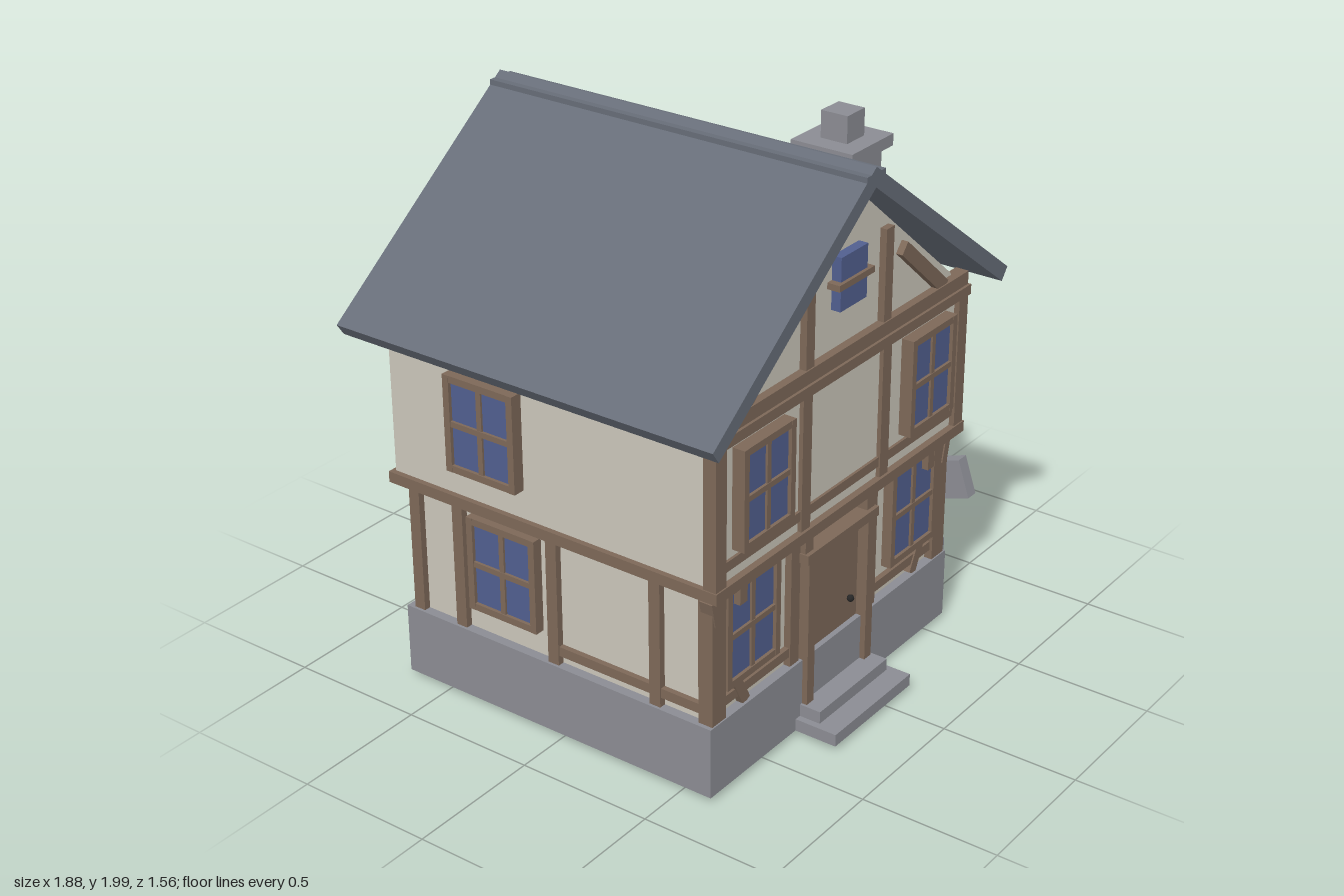
import * as THREE from 'three';

const mat = (name, color) => Object.assign(new THREE.MeshStandardMaterial({ color }), { name });

export function createModel() {
  const plaster = mat('plaster', 0xcac6ba), wood = mat('wood', 0x7d6858), stone = mat('stone', 0x8b8c93);
  const slate = mat('slate', 0x676d78), glass = mat('glass', 0x515f8f), iron = mat('iron', 0x262626);
  const house = new THREE.Group();
  house.name = 'house';
  const CX = -0.1; // the house is symmetric about this x

  const add = (name, geo, material, parent = house) => {
    const m = new THREE.Mesh(geo, material);
    m.name = name;
    parent.add(m);
    return m;
  };
  // box from its bounds
  const box = (name, material, x0, x1, y0, y1, z0, z1, parent) => {
    const m = add(name, new THREE.BoxGeometry(x1 - x0, y1 - y0, z1 - z0), material, parent);
    m.position.set((x0 + x1) / 2, (y0 + y1) / 2, (z0 + z1) / 2);
    return m;
  };
  // the same box on both sides of the house axis
  const pair = (name, material, x0, x1, ...rest) => {
    box(name, material, x0, x1, ...rest);
    box(name, material, 2 * CX - x1, 2 * CX - x0, ...rest);
  };
  // slanted beam between two points of a facade, mirrored
  const braces = (name, xa, ya, xb, yb, width, z0, z1) => {
    for (const s of [1, -1]) {
      const m = add(name, new THREE.BoxGeometry(Math.hypot(xb - xa, yb - ya), width, z1 - z0), wood);
      const mid = (xa + xb) / 2;
      m.position.set(s > 0 ? mid : 2 * CX - mid, (ya + yb) / 2, (z0 + z1) / 2);
      m.rotation.z = s * Math.atan2(yb - ya, xb - xa);
    }
  };
  // prism along z from an outline in x and y
  const prism = (name, material, pts, z0, z1) => {
    const shape = new THREE.Shape(pts.map(p => new THREE.Vector2(...p)));
    const geo = new THREE.ExtrudeGeometry(shape, { depth: z1 - z0, bevelEnabled: false });
    return add(name, geo.translate(0, 0, z0), material);
  };
  // framed window with a cross, facing +z about its own centre
  const framedWindow = (name, w, h) => {
    const g = new THREE.Group(), t = 0.025, a = w / 2, b = h / 2;
    g.name = name;
    box('pane', glass, -a + t, a - t, -b + t, b - t, -0.02, 0.022, g);
    for (const s of [-1, 1]) {
      box('frameSide', wood, s * (a - t / 2) - t / 2, s * (a - t / 2) + t / 2, -b, b, -0.02, 0.035, g);
      box('frameRail', wood, -a, a, s * (b - t / 2) - t / 2, s * (b - t / 2) + t / 2, -0.02, 0.034, g);
    }
    box('mullion', wood, -0.01, 0.01, -b, b, -0.01, 0.03, g);
    box('crossBar', wood, -a, a, -0.01, 0.01, -0.01, 0.032, g);
    house.add(g);
    return g;
  };

  // masonry base and walls
  box('foundation', stone, -0.81, 0.605, 0.03, 0.29, -0.67, 0.62);
  box('lowerWalls', plaster, -0.775, 0.575, 0.29, 0.78, -0.64, 0.585);
  box('upperWalls', plaster, -0.81, 0.61, 0.79, 1.33, -0.685, 0.63);
  prism('gableWalls', plaster, [[-0.79, 1.33], [0.59, 1.33], [0.55, 1.39], [CX, 1.93], [-0.75, 1.39]], -0.675, 0.62);

  // horizontal bands around the house
  box('floorBand', wood, -0.83, 0.63, 0.77, 0.81, -0.70, 0.655);
  box('eaveBand', wood, -0.835, 0.625, 1.295, 1.332, -0.695, 0.66);
  box('gableBeamFront', wood, -0.82, 0.62, 1.33, 1.38, 0.60, 0.65);
  box('gableBeamBack', wood, -0.82, 0.62, 1.33, 1.38, -0.70, -0.65);

  // upper front framing
  pair('upperCornerPost', wood, -0.825, -0.77, 0.81, 1.295, 0.60, 0.65);
  pair('upperPost', wood, -0.355, -0.305, 0.81, 1.295, 0.60, 0.645);
  box('upperRail', wood, -0.77, 0.57, 0.85, 0.885, 0.60, 0.64);

  // lower front framing
  pair('lowerCornerPost', wood, -0.795, -0.72, 0.29, 0.77, 0.56, 0.615);
  pair('lowerPost', wood, -0.355, -0.305, 0.29, 0.77, 0.57, 0.61);
  pair('lowerRail', wood, -0.72, -0.30, 0.325, 0.36, 0.57, 0.605);
  pair('windowBracket', wood, -0.675, -0.635, 0.69, 0.77, 0.58, 0.635);
  pair('doorBracket', wood, -0.305, -0.26, 0.70, 0.77, 0.58, 0.63);
  braces('lowerBrace', -0.66, 0.41, -0.60, 0.29, 0.04, 0.57, 0.61);
  braces('topKnee', -0.79, 0.75, -0.77, 0.66, 0.03, 0.57, 0.62);

  // gable framing and windows, front and back
  for (const [z0, z1] of [[0.60, 0.645], [-0.70, -0.655]]) {
    pair('gablePost', wood, -0.345, -0.30, 1.38, 1.705, z0, z1);
    braces('gableBrace', -0.68, 1.37, -0.415, 1.6, 0.05, z0, z1);
    box('atticPane', glass, -0.175, -0.025, 1.52, 1.705, z0 - 0.01, z1 + 0.01);
    box('atticBar', wood, -0.2, 0, 1.6, 1.622, z0 - 0.022, z1 + 0.022);
  }

  // front windows
  for (const x of [-0.577, 0.377]) {
    framedWindow('upperWindow', 0.275, 0.355).position.set(x, 1.088, 0.642);
    framedWindow('lowerWindow', 0.29, 0.37).position.set(x, 0.575, 0.588);
  }

  // left-hand side: windows and posts
  for (const [x, y, z] of [[-0.82, 1.09, -0.27], [-0.778, 0.56, -0.235]]) {
    const w = framedWindow('sideWindow', 0.29, 0.35);
    w.position.set(x, y, z);
    w.rotation.y = -Math.PI / 2;
  }
  for (const z of [-0.62, -0.43, -0.03, 0.39])
    box('sidePost', wood, -0.80, -0.76, 0.29, 0.77, z - 0.022, z + 0.022);
  box('sideRail', wood, -0.795, -0.76, 0.325, 0.36, -0.03, 0.58);

  // back posts and joist ends
  for (const x of [-0.52, CX, 0.31])
    box('backPost', wood, x - 0.024, x + 0.024, 0.29, 0.77, -0.665, -0.62);
  for (const x of [-0.67, -0.30, 0.07, 0.44])
    box('joistEnd', wood, x - 0.025, x + 0.025, 0.70, 0.77, -0.695, -0.62);

  // front door, porch and steps
  box('frontDoor', wood, -0.26, 0.055, 0.285, 0.635, 0.57, 0.60);
  pair('porchPost', wood, -0.295, -0.255, 0.12, 0.69, 0.60, 0.64);
  box('porchLintel', wood, -0.31, 0.11, 0.665, 0.70, 0.58, 0.645);
  add('doorKnob', new THREE.SphereGeometry(0.013, 12, 8), iron).position.set(0.003, 0.38, 0.61);
  box('lowerStep', stone, -0.33, 0.13, 0.03, 0.075, 0.60, 0.78);
  box('upperStep', stone, -0.305, 0.105, 0.07, 0.12, 0.60, 0.70);

  // outside stair rising along the right-hand wall
  for (let i = 0; i < 7; i++) {
    const front = 0.435 - i * 0.105;
    box('stairStep', stone, 0.57, 0.912, 0.03, 0.14 + i * 0.11, i < 6 ? front - 0.105 : -0.45, front);
  }
  const plank = add('stairPlank', new THREE.BoxGeometry(0.05, 0.15, 1.055), stone);
  plank.position.set(0.915, 0.25, 0.018);
  plank.rotation.x = -Math.atan(0.339);

  // upper side door with frame
  box('sideDoor', wood, 0.59, 0.63, 0.81, 1.30, -0.49, -0.18);
  for (const z of [-0.505, -0.165])
    box('sideDoorJamb', wood, 0.59, 0.65, 0.81, 1.33, z - 0.017, z + 0.017);
  box('sideDoorHead', wood, 0.59, 0.65, 1.31, 1.355, -0.522, -0.148);

  // roof and ridge
  prism('roof', slate, [[-0.945, 1.37], [-0.915, 1.327], [CX, 1.932], [0.717, 1.327], [0.75, 1.37], [CX, 2]], -0.78, 0.725);
  box('ridgeCap', slate, -0.152, -0.048, 1.955, 1.98, -0.78, 0.725);

  // chimney
  box('chimneyStack', stone, 0.225, 0.41, 1.53, 1.84, 0.235, 0.42);
  box('chimneyCap', stone, 0.195, 0.44, 1.84, 1.882, 0.205, 0.445);
  box('chimneyPot', stone, 0.265, 0.367, 1.88, 1.978, 0.275, 0.378);

  return house;
}
